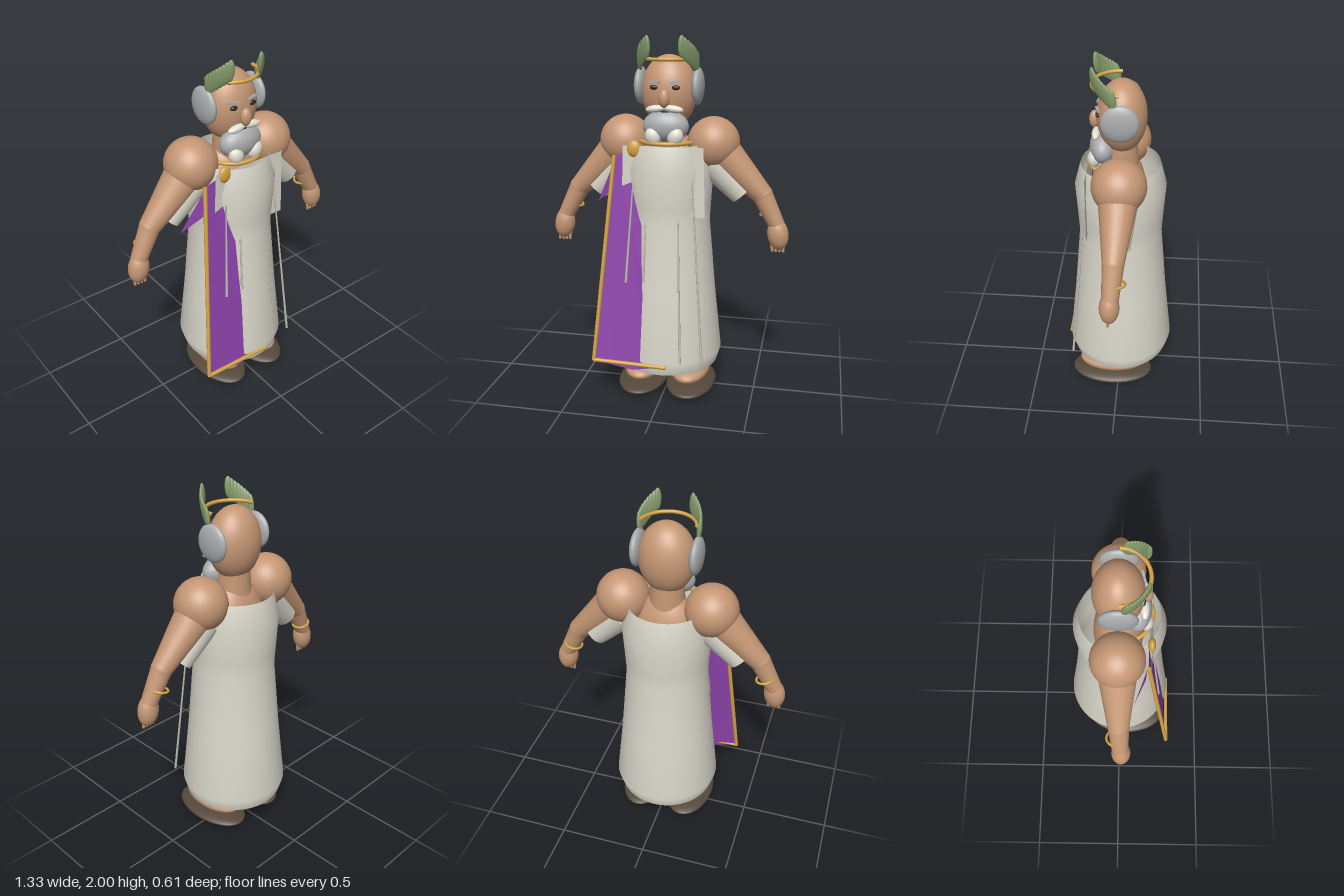
import * as THREE from 'three';

const mat = (name, color) => new THREE.MeshStandardMaterial({ name, color });

export function createModel() {
  const root = new THREE.Group();
  root.name = 'robedElder';
  const skin = mat('skin', 0xc49674);
  const cloth = mat('cream cloth', 0xdad7ca);
  const fold = mat('fold shade', 0xbdb9ad);
  const purple = mat('purple cape', 0x8e44ad);
  const gold = mat('gold', 0xd2a243);
  const green = mat('laurel green', 0x83996a);
  const grey = mat('grey hair', 0xa9abac);
  const white = mat('white hair', 0xe0ddd2);
  const dark = mat('dark eyes', 0x33271f);
  const leather = mat('sandal leather', 0x54483a);
  cloth.side = purple.side = THREE.DoubleSide;

  const add = (name, geo, material) => {
    const m = new THREE.Mesh(geo, material);
    m.name = name;
    root.add(m);
    return m;
  };
  const ball = (name, material, pos, size) => {
    const m = add(name, new THREE.SphereGeometry(1, 32, 20), material);
    m.position.set(...pos);
    m.scale.set(...size);
    return m;
  };
  // Tapered round bar from a to b
  const bar = (name, material, a, b, ra, rb, open = false) => {
    const p = new THREE.Vector3(...a), q = new THREE.Vector3(...b);
    const d = q.clone().sub(p);
    const m = add(name, new THREE.CylinderGeometry(rb, ra, d.length(), 24, 1, open), material);
    m.position.copy(p).add(q).multiplyScalar(0.5);
    m.quaternion.setFromUnitVectors(new THREE.Vector3(0, 1, 0), d.normalize());
    return m;
  };
  // Flat polygon built as a fan from its first corner
  const sheet = (name, material, pts) => {
    const g = new THREE.BufferGeometry();
    g.setAttribute('position', new THREE.Float32BufferAttribute(pts.flat(), 3));
    const idx = [];
    for (let i = 1; i < pts.length - 1; i++) idx.push(0, i, i + 1);
    g.setIndex(idx);
    g.computeVertexNormals();
    return add(name, g, material);
  };
  // Front half of a horizontal ring
  const halfRing = (name, r, tube, pos) => {
    const g = new THREE.TorusGeometry(r, tube, 10, 40, Math.PI).rotateX(Math.PI / 2);
    add(name, g, gold).position.set(...pos);
  };

  // Robe, open at hem and neck
  const profile = [[0.28, 0.165], [0.302, 0.24], [0.263, 0.6], [0.228, 1.0], [0.234, 1.1],
    [0.246, 1.3], [0.212, 1.43]].map(([r, y]) => new THREE.Vector2(r, y));
  add('robe', new THREE.LatheGeometry(profile, 56), cloth);
  // Chest panel standing off the robe at both sides
  sheet('chestPanel', cloth, [[-0.228, 1.05, 0.17], [0.228, 1.05, 0.17], [0.217, 1.428, 0.17], [-0.217, 1.428, 0.17]]);
  // Long folds
  [
    [[-0.16, 1.235, 0.18], [-0.195, 0.68, 0.232]],
    [[-0.085, 1.05, 0.205], [-0.095, 0.69, 0.24]],
    [[0.09, 1.05, 0.207], [0.115, 0.245, 0.276]],
    [[0.16, 1.245, 0.18], [0.235, 0.245, 0.265]],
  ].forEach(([a, b]) => bar('robeFold', fold, a, b, 0.004, 0.007));

  // Cape with gold trim
  sheet('cape', purple, [[-0.265, 1.37, 0.15], [-0.37, 0.23, 0.295], [-0.15, 0.185, 0.285],
    [0.04, 0.222, 0.292], [-0.13, 1.41, 0.152]]);
  sheet('capeShoulder', purple, [[-0.265, 1.35, 0.145], [-0.385, 1.095, 0.08], [-0.275, 1.19, 0.14]]);
  bar('capeSideTrim', gold, [-0.27, 1.37, 0.152], [-0.37, 0.23, 0.297], 0.011, 0.011);
  bar('capeHemTrim', gold, [-0.372, 0.232, 0.297], [0.04, 0.222, 0.299], 0.011, 0.011);
  ball('capeBrooch', gold, [-0.157, 1.41, 0.165], [0.037, 0.045, 0.02]);
  halfRing('collar', 0.15, 0.011, [0, 1.44, 0.02]);

  // Body
  ball('torso', skin, [0, 1.22, -0.005], [0.19, 0.28, 0.135]);
  bar('neck', skin, [0, 1.38, 0], [0, 1.58, 0], 0.1, 0.085);

  // Head and face
  ball('head', skin, [0, 1.7, -0.006], [0.152, 0.195, 0.13]);
  ball('nose', skin, [0, 1.675, 0.135], [0.03, 0.048, 0.027]);
  ball('mouth', dark, [0, 1.607, 0.114], [0.03, 0.008, 0.012]);
  ball('beard', grey, [0, 1.525, 0.09], [0.125, 0.085, 0.072]);
  halfRing('crownBand', 0.145, 0.01, [0, 1.875, 0.0]);

  for (const s of [1, -1]) {
    ball('sideHair', grey, [s * 0.155, 1.73, -0.005], [0.034, 0.1, 0.097]);
    ball('eye', dark, [s * 0.058, 1.73, 0.112], [0.022, 0.013, 0.012]);
    const brow = add('eyebrow', new THREE.BoxGeometry(0.06, 0.012, 0.014), grey);
    brow.position.set(s * 0.057, 1.757, 0.113);
    brow.rotation.set(0, s * 0.25, s * 0.08);
    ball('moustache', white, [s * 0.048, 1.62, 0.123], [0.054, 0.02, 0.022]).rotation.z = -s * 0.12;
    ball('beardCurl', white, [s * 0.06, 1.475, 0.135], [0.042, 0.05, 0.035]).rotation.z = -s * 0.35;

    // Laurel leaves climbing along the crown
    for (let i = 0; i < 8; i++) {
      const t = i / 7, a = 0.2 + t * 0.75;
      const leaf = ball('laurelLeaf', green,
        [s * 0.158 * Math.cos(a), 1.855 + t * 0.085, 0.158 * Math.sin(a)], [0.021, 0.058, 0.013]);
      leaf.rotation.set(0.3 * (1 - t) + 0.1, s * (Math.PI / 2 - a), -s * 0.25 * (1 - t));
    }

    // Arm, hand and fingers
    ball('shoulder', skin, [s * 0.244, 1.428, -0.008], [0.143, 0.143, 0.143]);
    bar('upperArm', skin, [s * 0.27, 1.4, -0.008], [s * 0.515, 1.155, 0], 0.108, 0.058);
    ball('elbow', skin, [s * 0.515, 1.155, 0], [0.058, 0.058, 0.058]);
    bar('forearm', skin, [s * 0.515, 1.155, 0], [s * 0.605, 0.98, 0.01], 0.057, 0.044);
    ball('hand', skin, [s * 0.608, 0.94, 0.014], [0.058, 0.088, 0.052]).rotation.z = s * 0.15;
    for (let i = 0; i < 4; i++) {
      const x = 0.578 + i * 0.02;
      bar('finger', skin, [s * x, 0.89, 0.018], [s * (x + 0.002), 0.842, 0.02], 0.012, 0.007);
    }
    const bangle = add('bracelet', new THREE.TorusGeometry(0.047, 0.007, 10, 32), gold);
    bangle.position.set(s * 0.553, 1.052, -0.016);
    bangle.rotation.set(Math.PI / 2, s * 0.25, 0);
    bar('sleeve', cloth, [s * 0.25, 1.33, -0.008], [s * 0.41, 1.153, -0.006], 0.1, 0.07, true);

    // Leg, foot and sandal
    bar('leg', skin, [s * 0.13, 0.12, -0.03], [s * 0.11, 1.0, 0], 0.065, 0.08);
    ball('foot', skin, [s * 0.135, 0.115, 0.035], [0.11, 0.056, 0.2]);
    ball('sandal', leather, [s * 0.14, 0.037, 0.04], [0.14, 0.035, 0.24]);
  }
  return root;
}
